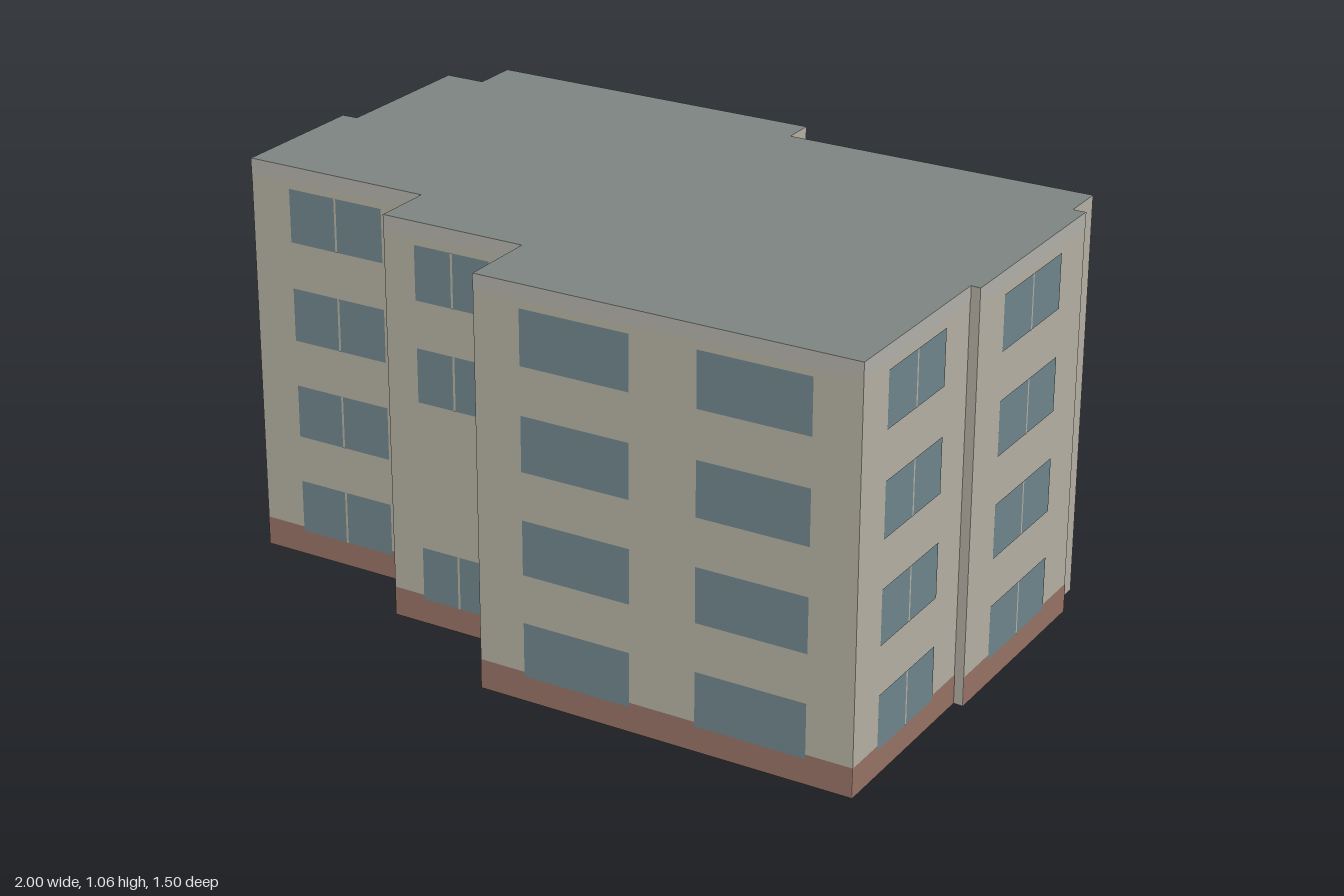
import * as THREE from 'three';

const HEIGHT = 1.06, BASE = 0.077;
const FLOORS = [0.066, 0.332, 0.596, 0.86], WINDOW_H = 0.141;

const mat = (color, side = THREE.FrontSide) => new THREE.MeshStandardMaterial({ color, side });
const wallMat = mat(0xb5b0a3, THREE.DoubleSide);
const roofMat = mat(0x7c8481, THREE.DoubleSide);
const bandMat = mat(0xb2b0aa);
const baseMat = mat(0x967264);
const glassMat = mat(0x6f868d);
const frameMat = mat(0xb5b0a3);

// Upright panel in a wall's own frame: x runs along the wall, z points outward
function panel(name, x0, x1, y0, y1, z, material) {
  const mesh = new THREE.Mesh(new THREE.PlaneGeometry(x1 - x0, y1 - y0), material);
  mesh.position.set((x0 + x1) / 2, (y0 + y1) / 2, z);
  mesh.name = name;
  return mesh;
}

// Footprint corners in order; each entry describes the wall to the next corner.
// w: window spans as fractions of the wall, split: centre bar, skip: floor without window
const wide = [[0.225, 0.765]], pair = [[0.125, 0.415], [0.59, 0.88]];
const WALLS = [
  { p: [-1, 0.155], w: wide, split: true },
  { p: [-0.49, 0.217] },
  { p: [-0.508, 0.375], w: wide, split: true, skip: 1 },
  { p: [-0.118, 0.422] },
  { p: [-0.14, 0.628], w: pair },
  { p: [0.852, 0.747], w: wide, split: true },
  { p: [0.91, 0.235] },
  { p: [0.935, 0.24], w: wide, split: true },
  { p: [1, -0.33] },
  { p: [0.967, -0.334] },
  { p: [0.98, -0.45], w: pair },
  { p: [0.153, -0.555] },
  { p: [0.162, -0.64], w: pair },
  { p: [-0.745, -0.75], w: [[0.2, 0.78]], split: true },
  { p: [-0.758, -0.628] },
  { p: [-0.866, -0.642], w: wide, split: true },
  { p: [-0.914, -0.228] },
  { p: [-0.957, -0.232], w: wide, skip: 1 },
];

function buildWall({ p, w, split, skip }, q) {
  const dx = q[0] - p[0], dz = q[1] - p[1], length = Math.hypot(dx, dz);
  const wall = new THREE.Group();
  wall.name = w ? 'facade' : 'returnWall';
  wall.position.set(p[0], 0, p[1]);
  wall.rotation.y = Math.atan2(-dz, dx);
  wall.add(panel('wall', 0, length, 0, HEIGHT, 0, wallMat));
  if (!w) return wall;

  // Brick plinth and pale top band
  wall.add(panel('plinth', 0, length, 0, BASE, 0.001, baseMat));
  wall.add(panel('topBand', 0, length, 1.02, HEIGHT, 0.001, bandMat));

  // Windows on every floor
  FLOORS.forEach((y, floor) => {
    if (floor === skip) return;
    for (const [a, b] of w) {
      const x0 = a * length, x1 = b * length, mid = (x0 + x1) / 2;
      wall.add(panel('window', x0, x1, y, y + WINDOW_H, 0.002, glassMat));
      if (split) wall.add(panel('windowBar', mid - 0.003, mid + 0.003, y, y + WINDOW_H, 0.003, frameMat));
    }
  });
  return wall;
}

export function createModel() {
  const building = new THREE.Group();
  building.name = 'apartmentBlock';
  WALLS.forEach((wall, i) => building.add(buildWall(wall, WALLS[(i + 1) % WALLS.length].p)));

  // Flat roof over the stepped footprint
  const outline = new THREE.Shape(WALLS.map(({ p }) => new THREE.Vector2(p[0], -p[1])));
  const roof = new THREE.Mesh(new THREE.ShapeGeometry(outline).rotateX(-Math.PI / 2), roofMat);
  roof.position.y = HEIGHT;
  roof.name = 'roof';
  building.add(roof);
  return building;
}
